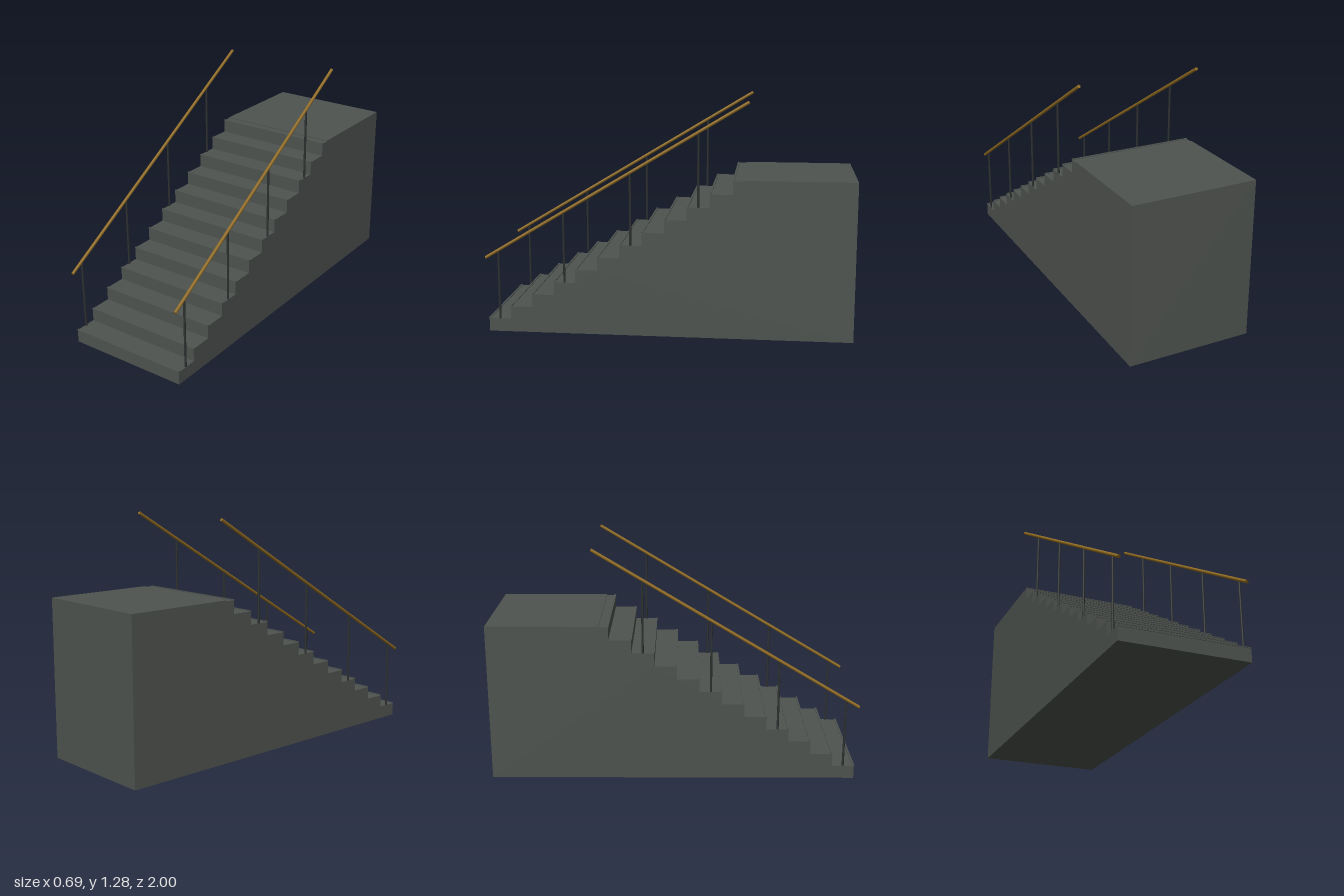
import * as THREE from 'three';

export function createModel() {
  const stone = new THREE.MeshStandardMaterial({ color: 0x4e534f });
  stone.name = 'grey stone';
  const iron = new THREE.MeshStandardMaterial({ color: 0x2e3131 });
  iron.name = 'dark iron';
  const brass = new THREE.MeshStandardMaterial({ color: 0x8f6a20 });
  brass.name = 'brass';

  const model = new THREE.Group();
  model.name = 'staircase';
  const STEPS = 12, RISE = 0.0717, RUN = 0.1213, FRONT = 0.985, WIDTH = 0.684;
  const stepFront = (i) => FRONT - i * RUN;

  function add(name, geometry, material, x, y, z, parent = model) {
    const mesh = new THREE.Mesh(geometry, material);
    mesh.name = name;
    mesh.position.set(x, y, z);
    parent.add(mesh);
    return mesh;
  }

  // Solid flight: stepped side profile (shape x = depth z), extruded across the width
  const profile = new THREE.Shape();
  profile.moveTo(-1, 0);
  profile.lineTo(FRONT, 0);
  for (let i = 0; i < STEPS; i++) {
    profile.lineTo(stepFront(i), (i + 1) * RISE);
    profile.lineTo(i < STEPS - 1 ? stepFront(i + 1) : -0.4, (i + 1) * RISE);
  }
  // Landing, slightly above the last tread
  profile.lineTo(-0.4, 0.865);
  profile.lineTo(-1, 0.865);
  profile.closePath();
  const flight = new THREE.ExtrudeGeometry(profile, { depth: WIDTH, bevelEnabled: false });
  flight.translate(0, 0, -WIDTH / 2);
  flight.rotateY(-Math.PI / 2);
  add('stairFlight', flight, stone, 0, 0, 0);

  // Thin nosing along the edge of each tread
  const nosing = new THREE.BoxGeometry(WIDTH, 0.005, 0.01);
  for (let i = 0; i < STEPS; i++) {
    add('stepNosing', nosing, stone, 0, (i + 1) * RISE + 0.0015, stepFront(i) - 0.002);
  }

  // Railings: a sloping round handrail on four posts per side
  const low = new THREE.Vector3(0, 0.415, 0.996);
  const high = new THREE.Vector3(0, 1.275, -0.43);
  const slope = high.clone().sub(low);
  const railGeometry = new THREE.CylinderGeometry(0.0085, 0.0085, slope.length(), 12);
  const railHeight = (z) => low.y + ((z - low.z) / slope.z) * slope.y;

  for (const side of [-1, 1]) {
    const railing = new THREE.Group();
    railing.name = side > 0 ? 'leftRailing' : 'rightRailing';
    railing.position.x = side * 0.337;
    model.add(railing);

    const mid = low.clone().add(high).multiplyScalar(0.5);
    const rail = add('handrail', railGeometry, brass, 0, mid.y, mid.z, railing);
    rail.quaternion.setFromUnitVectors(new THREE.Vector3(0, 1, 0), slope.clone().normalize());

    for (const step of [0, 3, 6, 9]) {
      const z = stepFront(step) - RUN / 2;
      const bottom = (step + 1) * RISE, top = railHeight(z);
      const post = new THREE.CylinderGeometry(0.006, 0.006, top - bottom, 10);
      add('railPost', post, iron, 0, (top + bottom) / 2, z, railing);
    }
  }
  return model;
}
